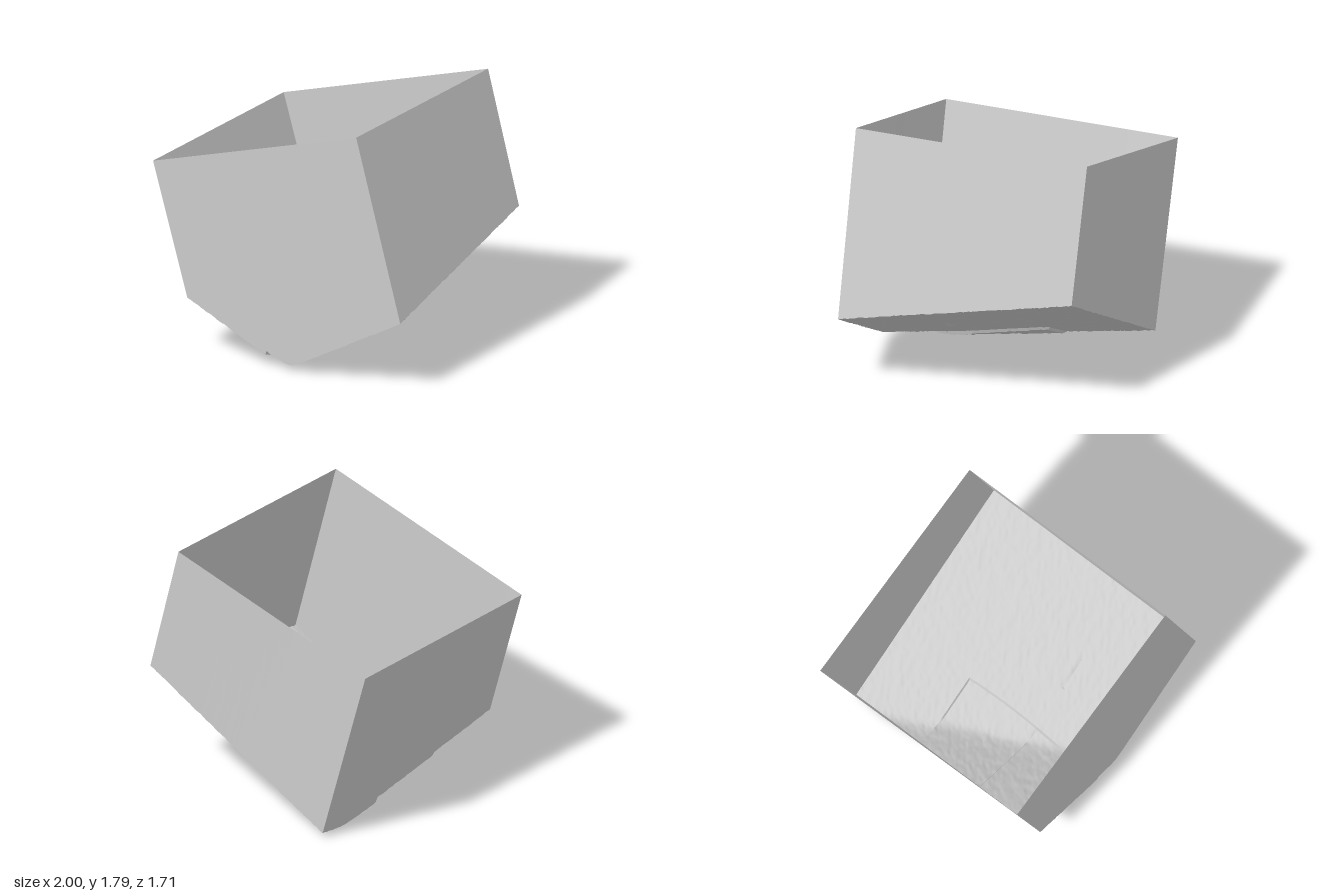
import * as THREE from 'three';
import { toCreasedNormals } from 'three/addons/utils/BufferGeometryUtils.js';

const mat = new THREE.MeshStandardMaterial({ color: 0xcccccc, side: THREE.DoubleSide });
const lerp = THREE.MathUtils.lerp;
const ZF = 0.845; // half depth of the floor
const ZR = 0.855; // half depth of the rim
const STEP = 0.28; // z of the two step lines

// Seeded value noise for the rough surface
const hash = (i, j) => {
  const s = Math.sin(i * 127.1 + j * 311.7) * 43758.5453;
  return s - Math.floor(s);
};
function noise(x, y) {
  const i = Math.floor(x), j = Math.floor(y);
  const fx = THREE.MathUtils.smoothstep(x - i, 0, 1), fy = THREE.MathUtils.smoothstep(y - j, 0, 1);
  return lerp(lerp(hash(i, j), hash(i + 1, j), fx), lerp(hash(i, j + 1), hash(i + 1, j + 1), fx), fy) - 0.5;
}

// Floor height: two slopes meeting in a rounded diagonal valley, with lowered
// patches. inPatch: left of the seam; band: 0 front, 1 middle, 2 back
function height(x, z, inPatch, band) {
  let left = 0.43 - 0.477 * (x + 0.72) + 0.2 * (z - 0.85);
  let right = 0.52 + 0.54 * (x - 1) - 0.235 * (z - 0.85);
  if (inPatch) {
    left -= [0.03, 0.05, 0.085][band];
    right -= [0.03, 0.02, 0][band];
  }
  const d = left - right;
  let y = (left + right + Math.sqrt(d * d + 0.0025)) / 2;
  // short raised crease on the right slope
  if (x > 0.24 && x < 0.46) y -= 0.01 * Math.exp(-(((z - STEP) / 0.012) ** 2));
  // streaked roughness
  const a = x * 0.85 - z * 0.5, b = x * 0.5 + z * 0.85;
  y += 0.007 * noise(a * 22, b * 45) + 0.004 * noise(a * 55 + 9, b * 80);
  return Math.max(0, y);
}

// Edges of the tilted side walls
const leftX = (y) => -1 + (1.34 - y) * 0.2985;
const rightX = (y) => 0.65 + (1.81 - y) * 0.2713;

// Surface from rows of points
function sheet(rows) {
  const pos = [], idx = [], n = rows[0].length;
  rows.forEach((r) => r.forEach((p) => pos.push(p.x, p.y, p.z)));
  for (let r = 0; r < rows.length - 1; r++) {
    for (let c = 0; c < n - 1; c++) {
      const a = r * n + c, b = a + n;
      idx.push(a, b, a + 1, b, b + 1, a + 1);
    }
  }
  const g = new THREE.BufferGeometry();
  g.setAttribute('position', new THREE.Float32BufferAttribute(pos, 3));
  g.setIndex(idx);
  g.computeVertexNormals();
  return g;
}

function floorRows() {
  const rows = [];
  const cuts = [-ZF, -STEP, STEP, ZF];
  for (let k = 0; k < 3; k++) {
    const band = 2 - k, nz = 42;
    for (let i = 0; i <= nz; i++) {
      // each band ends just beside the step so that the riser is steep
      const z = lerp(cuts[k] + (k > 0 ? 0.008 : 0), cuts[k + 1], i / nz);
      let xl = -0.65, xr = 0.95;
      for (let t = 0; t < 8; t++) {
        xl = leftX(height(xl, z, true, band));
        xr = rightX(height(xr, z, false, band));
      }
      const seam = -0.045 - 0.11 * (z - STEP) ** 2;
      const row = [];
      for (let c = 0; c <= 50; c++) {
        const x = lerp(xl, seam - 0.008, c / 50);
        row.push(new THREE.Vector3(x, height(x, z, true, band), z));
      }
      for (let c = 0; c <= 75; c++) {
        const x = lerp(seam, xr, c / 75);
        row.push(new THREE.Vector3(x, height(x, z, false, band), z));
      }
      rows.push(row);
    }
  }
  return rows;
}

export function createModel() {
  const group = new THREE.Group();
  const add = (name, geometry) => {
    const m = new THREE.Mesh(geometry, mat);
    m.name = name;
    group.add(m);
  };

  // Rough stepped floor
  const rows = floorRows();
  add('roughFloor', toCreasedNormals(sheet(rows), 0.6));

  // Flat walls from the open rim down to the floor edges
  const rim = {
    backLeft: new THREE.Vector3(-1, 1.34, -ZR),
    backRight: new THREE.Vector3(0.65, 1.81, -ZR),
    frontLeft: new THREE.Vector3(-0.99, 1.345, ZR),
    frontRight: new THREE.Vector3(0.65, 1.81, ZR),
  };
  const wall = (name, from, to, edge) => {
    const start = edge[0], span = edge[edge.length - 1].clone().sub(start);
    const top = edge.map((p) => from.clone().lerp(to, p.clone().sub(start).dot(span) / span.lengthSq()));
    const g = sheet([top, edge]).toNonIndexed();
    g.computeVertexNormals();
    add(name, g);
  };
  const last = rows.length - 1, end = rows[0].length - 1;
  wall('frontWall', rim.frontLeft, rim.frontRight, rows[last]);
  wall('backWall', rim.backRight, rim.backLeft, [...rows[0]].reverse());
  wall('rightWall', rim.backLeft, rim.frontLeft, rows.map((r) => r[0]));
  wall('leftWall', rim.frontRight, rim.backRight, rows.map((r) => r[end]).reverse());

  return group;
}
